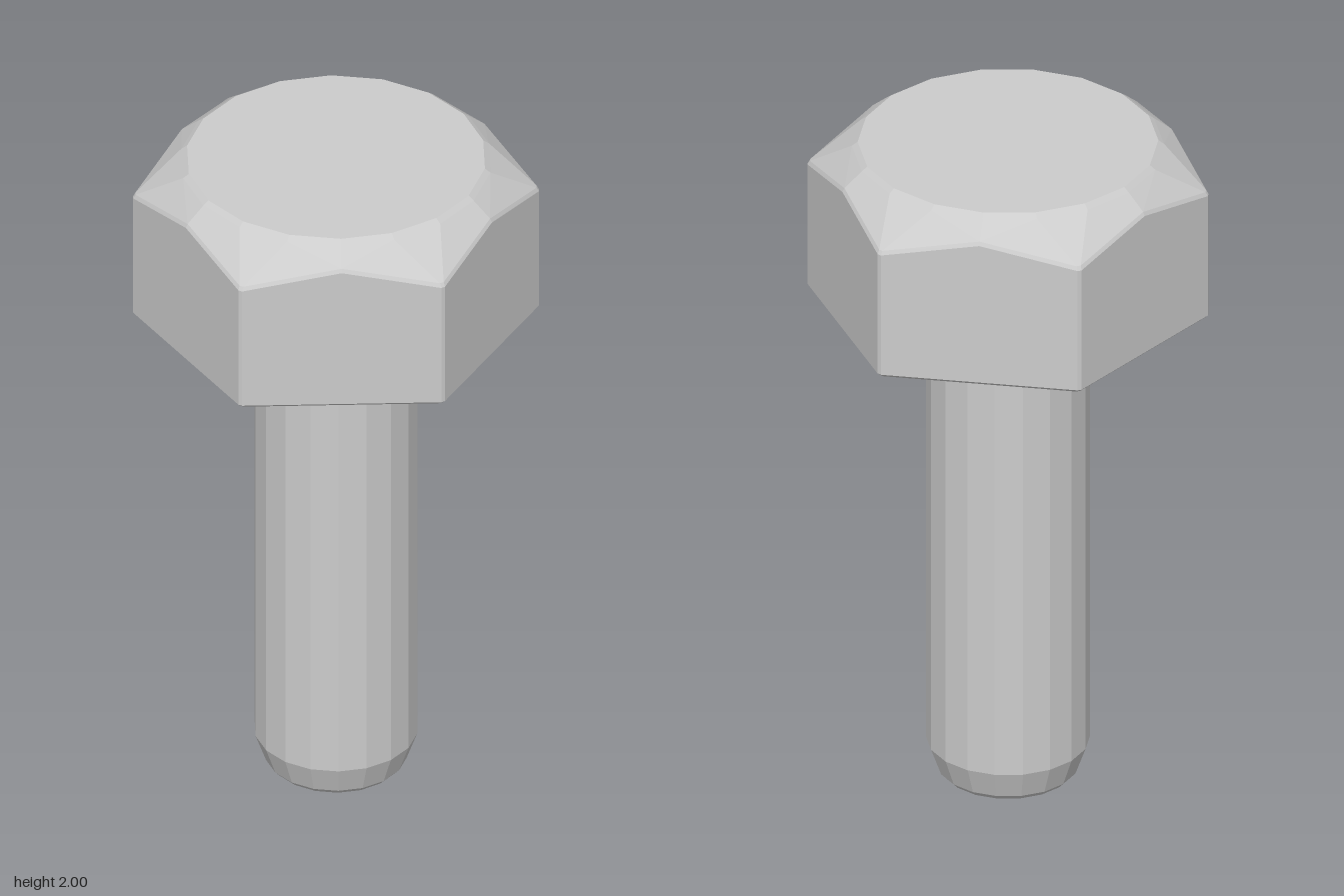
import * as THREE from 'three';

const SIDES = 18;

// Ring of 18 points with one radius and height
function circleRing(r, y) {
  return Array.from({ length: SIDES }, (_, i) => {
    const a = (i / SIDES) * Math.PI * 2;
    return [r * Math.cos(a), y, r * Math.sin(a)];
  });
}

// Hexagon ring: every third point is the middle of a side, the others lie beside the trimmed corners
function hexRing(apothem, yMid, yCorner, trim = 0.007) {
  const half = apothem * Math.tan(Math.PI / 6) - trim;
  return Array.from({ length: SIDES }, (_, i) => {
    const side = Math.round(i / 3);
    const t = (i - side * 3) * half;
    const a = (side * Math.PI) / 3;
    return [
      apothem * Math.cos(a) - t * Math.sin(a),
      t === 0 ? yMid : yCorner,
      apothem * Math.sin(a) + t * Math.cos(a),
    ];
  });
}

// Joins rings from bottom to top and closes both ends
function loft(rings) {
  const pos = [];
  const tri = (...pts) => pts.forEach((p) => pos.push(...p));
  const first = rings[0];
  const last = rings[rings.length - 1];
  for (let i = 0; i < SIDES; i++) {
    const j = (i + 1) % SIDES;
    for (let k = 0; k < rings.length - 1; k++) {
      const a = rings[k];
      const b = rings[k + 1];
      // diagonals start at the middle of each hexagon side
      if (i % 3 === 0) {
        tri(a[j], a[i], b[j]);
        tri(a[i], b[i], b[j]);
      } else {
        tri(a[j], a[i], b[i]);
        tri(a[j], b[i], b[j]);
      }
    }
    tri([0, first[0][1], 0], first[i], first[j]);
    tri([0, last[0][1], 0], last[j], last[i]);
  }
  const geo = new THREE.BufferGeometry();
  geo.setAttribute('position', new THREE.Float32BufferAttribute(pos, 3));
  geo.computeVertexNormals();
  return geo;
}

export function createModel() {
  const group = new THREE.Group();
  group.name = 'hexBolt';
  const material = new THREE.MeshStandardMaterial({ color: 0xcccccc, flatShading: true });
  const add = (name, rings) => {
    const mesh = new THREE.Mesh(loft(rings), material);
    mesh.name = name;
    group.add(mesh);
  };

  // Shank with a chamfered tip
  add('shank', [
    circleRing(0.185, 0),
    circleRing(0.2, 0.016),
    circleRing(0.23, 0.1),
    circleRing(0.23, 1.5),
  ]);

  // Hexagonal head whose corners are cut back to a round top
  add('head', [
    hexRing(0.486, 1.488, 1.488),
    hexRing(0.495, 1.497, 1.497),
    hexRing(0.495, 1.933, 1.878),
    hexRing(0.489, 1.944, 1.89),
    circleRing(0.437, 1.988),
    circleRing(0.421, 2),
  ]);

  return group;
}
